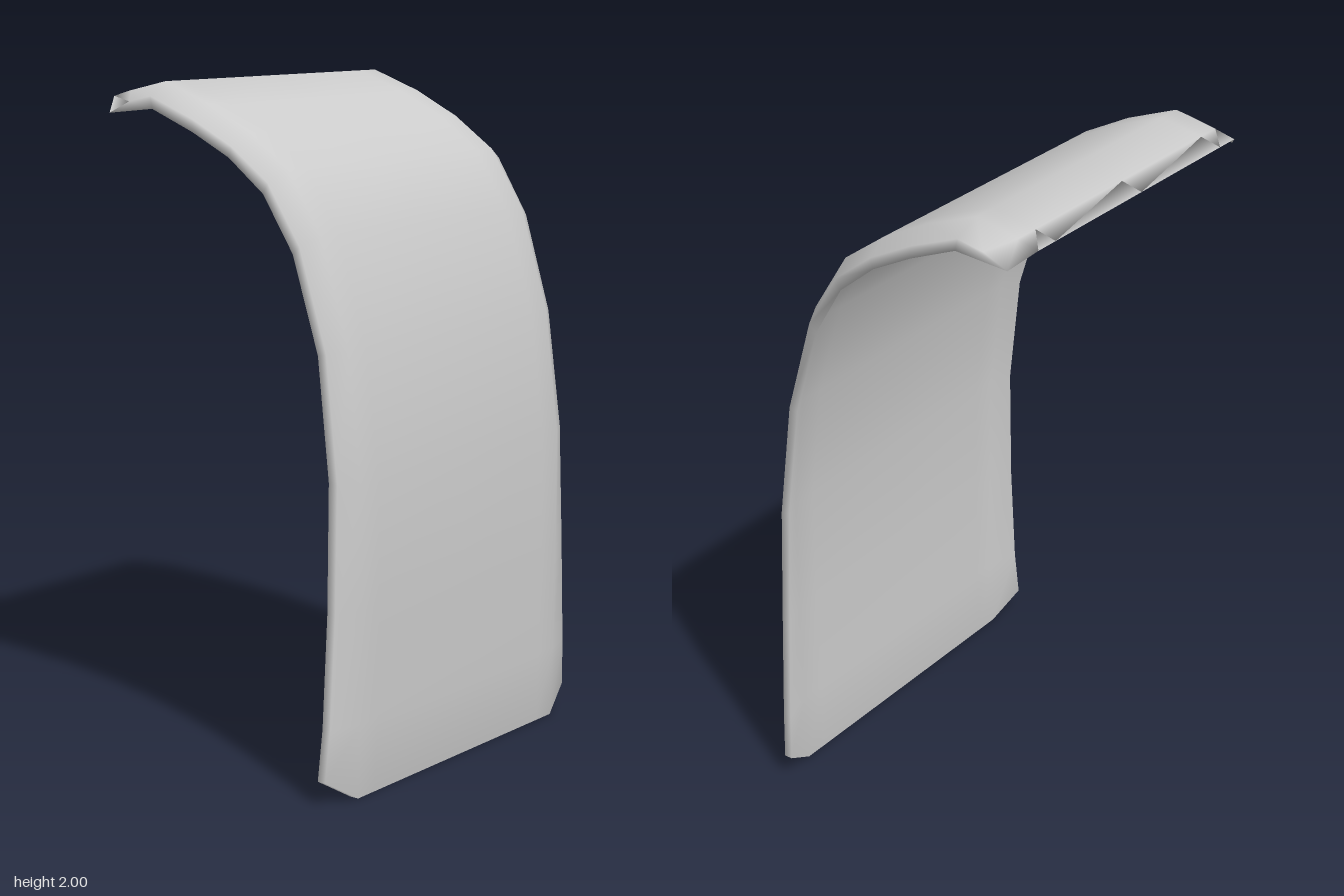
import * as THREE from 'three';

// Stations from bottom to top: face [z, y], rear edge of the rim [z, y], half width
const STATIONS = [
  [0.44, 0.0, 0.385, 0.0, 0.615],
  [0.448, 0.22, 0.392, 0.22, 0.602],
  [0.452, 0.55, 0.394, 0.55, 0.582],
  [0.45, 0.91, 0.388, 0.92, 0.567],
  [0.405, 1.28, 0.345, 1.27, 0.56],
  [0.31, 1.59, 0.26, 1.545, 0.563],
  [0.195, 1.77, 0.16, 1.705, 0.568],
  [0.06, 1.865, 0.04, 1.8, 0.572],
  [-0.09, 1.94, -0.09, 1.865, 0.574],
  [-0.255, 2.0, -0.24, 1.925, 0.575],
];
const FACE_X = [-0.5, -0.42, 0, 0.42, 0.5];

// One row across: flat middle between two rim points, each given as [y, z]
const row = (mid, rim, w) => [
  [-w, ...rim], ...FACE_X.map(x => [x, ...mid]), [w, ...rim],
];
const closedRing = (front, back) => [...front, ...back.reverse()];

// Shell of even thickness whose sides curl backwards
function ring([zo, yo, zi, yi, w], i) {
  const at = t => [yo + (yi - yo) * t, zo + (zi - zo) * t];
  // clipped corners at the bottom
  const rim = t => (i === 0 ? [0.07, at(t)[1]] : at(t));
  return closedRing(row(at(0), rim(0.52), w), row(at(0.5), rim(1), w));
}

function shellGeometry() {
  // the back layer reaches past the front layer at the top lip
  const lip = closedRing(
    row([1.97, -0.39], [1.943, -0.33], 0.573),
    row([1.952, -0.455], [1.908, -0.407], 0.573),
  );
  const rings = [...STATIONS.map(ring), lip];
  const n = rings[0].length;
  const index = [];
  const quad = (a, b, c, d) => index.push(a, b, c, a, c, d);
  // skin between neighbouring rings
  for (let i = 0; i < rings.length - 1; i++) {
    for (let j = 0; j < n; j++) {
      const k = (j + 1) % n;
      quad(i * n + j, i * n + k, (i + 1) * n + k, (i + 1) * n + j);
    }
  }
  // bottom and top end strips
  const top = (rings.length - 1) * n;
  for (let j = 0; j < n / 2 - 1; j++) {
    const b = n - 1 - j;
    quad(j, b, b - 1, j + 1);
    quad(top + j, top + j + 1, top + b - 1, top + b);
  }
  const geo = new THREE.BufferGeometry();
  geo.setAttribute('position', new THREE.Float32BufferAttribute(rings.flat(2), 3));
  geo.setIndex(index);
  geo.computeVertexNormals();
  return geo;
}

export function createModel() {
  const group = new THREE.Group();
  group.name = 'curvedPanel';
  const material = new THREE.MeshStandardMaterial({ color: 0xcccccc });
  const panel = new THREE.Mesh(shellGeometry(), material);
  panel.name = 'panel';
  group.add(panel);
  return group;
}
